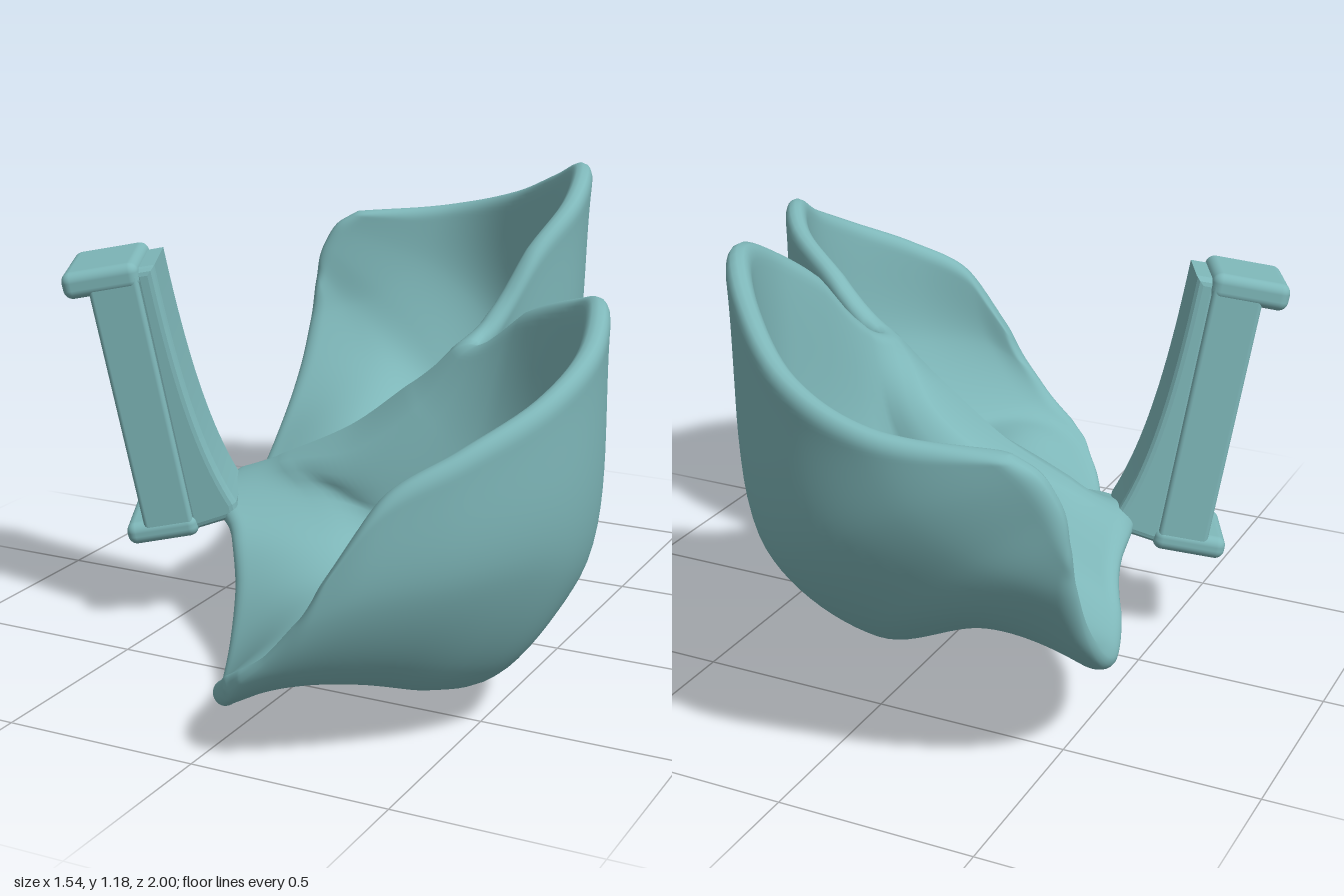
import * as THREE from 'three';
import { mergeVertices } from 'three/addons/utils/BufferGeometryUtils.js';
import { RoundedBoxGeometry } from 'three/addons/geometries/RoundedBoxGeometry.js';

const TEAL = 0x7fb8ba;

// Cross-sections of the shell's outer face: low left edge -> floor -> high right rim.
const backSections = [
  [[-.66, .68, -.85], [-.655, .75, -.87], [-.635, .82, -.885], [-.60, .88, -.90], [-.54, .92, -.92]],
  [[-.655, .57, -.81], [-.55, .61, -.87], [-.42, .65, -.91], [-.30, .77, -.97], [-.22, .955, -1.0]],
  [[-.645, .46, -.75], [-.43, .47, -.80], [-.20, .44, -.83], [-.06, .63, -.93], [.01, 1.02, -.935]],
  [[-.635, .35, -.67], [-.38, .38, -.68], [-.10, .30, -.69], [.14, .51, -.78], [.21, 1.11, -.77]],
  [[-.615, .25, -.55], [-.35, .32, -.53], [-.03, .23, -.54], [.26, .48, -.58], [.35, 1.17, -.58]],
  [[-.58, .19, -.40], [-.30, .28, -.38], [.00, .20, -.38], [.31, .45, -.40], [.395, 1.11, -.38]],
  [[-.525, .20, -.22], [-.25, .27, -.22], [.03, .23, -.22], [.28, .45, -.23], [.35, 1.00, -.21]],
  [[-.47, .27, -.08], [-.20, .31, -.08], [.03, .35, -.09], [.21, .54, -.08], [.30, .84, -.09]],
];
const frontSections = [
  [[-.44, .30, .08], [-.25, .32, .05], [.00, .42, .02], [.17, .59, .00], [.285, .77, .00]],
  [[-.39, .28, .20], [-.10, .30, .16], [.15, .31, .13], [.35, .50, .08], [.45, .90, .06]],
  [[-.295, .25, .29], [.00, .24, .29], [.29, .17, .26], [.56, .42, .18], [.64, .98, .19]],
  [[-.22, .16, .38], [.08, .20, .40], [.42, .125, .39], [.69, .36, .36], [.74, 1.01, .34]],
  [[-.165, .04, .49], [.13, .19, .51], [.50, .105, .52], [.725, .40, .52], [.775, .94, .50]],
  [[-.115, -.02, .61], [.15, .18, .65], [.46, .13, .66], [.69, .45, .68], [.735, .86, .68]],
  [[-.065, .01, .74], [.15, .17, .79], [.38, .19, .81], [.57, .45, .85], [.61, .77, .85]],
  [[-.01, .07, .86], [.12, .15, .91], [.27, .24, .95], [.41, .43, .97], [.47, .68, .95]],
  [[.07, .14, .955], [.13, .19, .99], [.20, .26, 1.01], [.27, .36, 1.015], [.34, .48, 1.005]],
];

// Smooth surface through the sections; u runs left to right, v back to front.
function makeSurface(sections) {
  const columns = sections[0].map((_, i) =>
    new THREE.CatmullRomCurve3(sections.map((s) => new THREE.Vector3(...s[i]))));
  return (u, v) => new THREE.CatmullRomCurve3(columns.map((c) => c.getPoint(v))).getPoint(u);
}

// Two sheets either side of the mid surface that close in a rounded edge.
function thickShell(surface, nu, nv, thickness) {
  const index = [], inner = [], outer = [];
  // Samples crowd toward the borders so the lip is round.
  const spread = (t) => 0.1 * t + 0.9 * (1 - Math.cos(Math.PI * t)) / 2;
  // Quarter-round falloff by real distance from the border
  const round = (t, speed) => {
    const d = Math.min(1, Math.min(t, 1 - t) * speed / (0.75 * thickness));
    return Math.sqrt(Math.max(0, 1 - (1 - d) ** 2));
  };
  const e = 0.004;
  for (let j = 0; j <= nv; j++) {
    for (let i = 0; i <= nu; i++) {
      const u = spread(i / nu), v = spread(j / nv);
      // Directions are taken slightly inside the border, where they stay distinct.
      const a = THREE.MathUtils.clamp(u, 0.05, 0.95), b = THREE.MathUtils.clamp(v, 0.035, 0.965);
      const du = surface(a + e, b).sub(surface(a - e, b)).divideScalar(2 * e);
      const dv = surface(a, b + e).sub(surface(a, b - e)).divideScalar(2 * e);
      const falloff = round(u, du.length()) * round(v, dv.length());
      const n = dv.cross(du).normalize();
      // Thicker along the saddle between the lobes
      const t = thickness * (1 + 1.4 * Math.sin(Math.PI * u) * Math.exp(-(((v - 0.5) / 0.05) ** 2)));
      const mid = surface(u, v).addScaledVector(n, t / 2);
      inner.push(...mid.clone().addScaledVector(n, falloff * t / 2).toArray());
      outer.push(...mid.clone().addScaledVector(n, -falloff * t / 2).toArray());
    }
  }
  const row = nu + 1, half = row * (nv + 1);
  for (let j = 0; j < nv; j++) {
    for (let i = 0; i < nu; i++) {
      const a = j * row + i, b = a + 1, c = a + row, d = c + 1;
      index.push(a, c, b, b, c, d);
      index.push(a + half, b + half, c + half, b + half, d + half, c + half);
    }
  }
  const g = new THREE.BufferGeometry();
  g.setAttribute('position', new THREE.Float32BufferAttribute([...inner, ...outer], 3));
  g.setIndex(index);
  const welded = mergeVertices(g, 1e-5);
  welded.computeVertexNormals();
  return welded;
}

// Side profile extruded across the bracket, centred on its width.
function extrudeProfile(draw, width, bevel) {
  const shape = new THREE.Shape();
  draw(shape);
  const g = new THREE.ExtrudeGeometry(shape, {
    depth: width - 2 * bevel, bevelEnabled: true, bevelThickness: bevel,
    bevelSize: bevel, bevelOffset: -bevel, bevelSegments: 3, curveSegments: 20,
  });
  return g.translate(0, 0, -(width - 2 * bevel) / 2);
}

export function createModel() {
  const model = new THREE.Group();
  const material = new THREE.MeshStandardMaterial({ color: TEAL });
  const add = (parent, name, geometry, x = 0, y = 0, z = 0) => {
    const mesh = new THREE.Mesh(geometry, material);
    mesh.name = name;
    mesh.position.set(x, y, z);
    parent.add(mesh);
    return mesh;
  };

  // Double-lobed shell
  const surface = makeSurface([...backSections, ...frontSections]);
  add(model, 'doubleCupShell', thickShell(surface, 64, 120, 0.06));

  // Leaning bracket: local x points away from the shell
  const bracket = new THREE.Group();
  bracket.name = 'bracket';
  bracket.position.set(-0.395, 0.285, 0.175);
  bracket.rotation.set(-0.07, Math.PI + 0.43, -0.175, 'YXZ');
  model.add(bracket);

  // Curved web that flares down into the shell
  add(bracket, 'web', extrudeProfile((s) => {
    s.moveTo(0.08, 0).lineTo(0.08, 0.725).lineTo(0.02, 0.725);
    s.bezierCurveTo(0.02, 0.45, 0.005, 0.22, -0.055, 0.06);
    s.lineTo(-0.055, 0.02).lineTo(0.08, 0);
  }, 0.21, 0.02));

  // Hollowed core of the post
  add(bracket, 'postCore', extrudeProfile((s) => {
    s.moveTo(0.06, 0.01).lineTo(0.18, 0.01).lineTo(0.18, 0.11);
    s.quadraticCurveTo(0.05, 0.36, 0.18, 0.61);
    s.lineTo(0.18, 0.71).lineTo(0.06, 0.71).lineTo(0.06, 0.01);
  }, 0.18, 0.005));

  // Side rails framing the hollow
  for (const side of [-1, 1]) {
    add(bracket, 'sideRail', new RoundedBoxGeometry(0.13, 0.72, 0.035, 3, 0.012), 0.13, 0.36, side * 0.1);
  }

  // Projecting lugs at the top and bottom
  add(bracket, 'topLug', new RoundedBoxGeometry(0.2, 0.07, 0.24, 4, 0.025), 0.16, 0.71, 0);
  add(bracket, 'bottomLug', new RoundedBoxGeometry(0.19, 0.06, 0.24, 4, 0.025), 0.15, 0.02, 0);

  return model;
}
